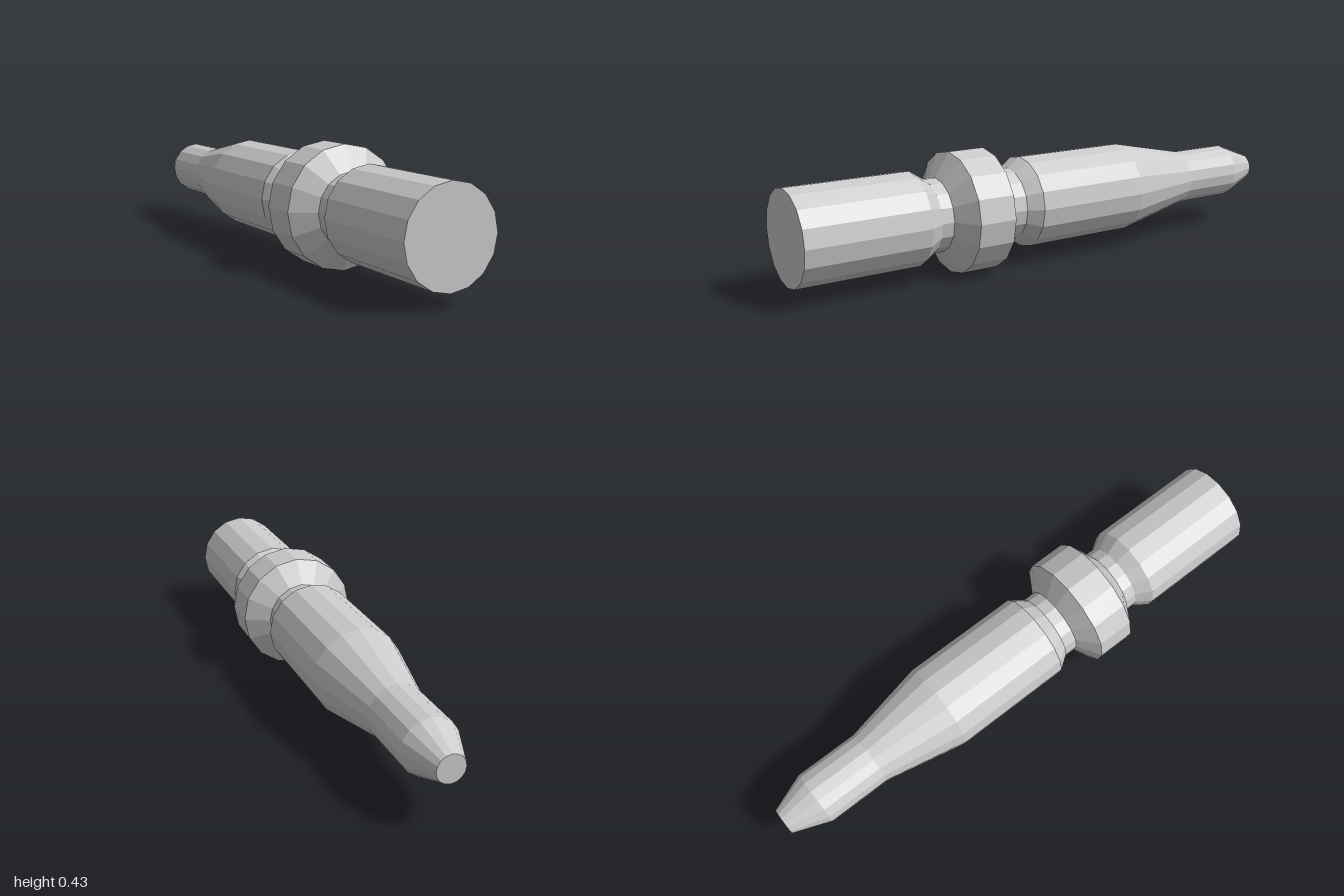
import * as THREE from 'three';

const SIDES = 16;
const AXIS_HEIGHT = 0.215;

// Profiles as [radius, z], running from back to front; neighbouring parts share a rim.
const PROFILES = {
  tip: [[0, -1], [0.05, -1], [0.102, -0.865], [0.102, -0.63]],
  taperedShaft: [[0.102, -0.63], [0.165, -0.325], [0.165, 0.115], [0.13, 0.165]],
  rearGroove: [[0.13, 0.165], [0.13, 0.215]],
  collar: [[0.13, 0.215], [0.215, 0.267], [0.215, 0.405], [0.13, 0.458]],
  frontGroove: [[0.13, 0.458], [0.13, 0.503]],
  frontShaft: [[0.13, 0.503], [0.165, 0.557], [0.165, 1], [0, 1]],
};

export function createModel() {
  const model = new THREE.Group();
  model.name = 'turnedPin';
  const material = new THREE.MeshStandardMaterial({ color: 0xcccccc, flatShading: true });

  // Each part is turned on the shared axis, which is laid along z
  for (const [name, profile] of Object.entries(PROFILES)) {
    const points = profile.map(([r, z]) => new THREE.Vector2(r, z));
    const geometry = new THREE.LatheGeometry(points, SIDES);
    geometry.rotateX(Math.PI / 2);
    const part = new THREE.Mesh(geometry, material);
    part.name = name;
    part.position.y = AXIS_HEIGHT;
    model.add(part);
  }
  return model;
}
